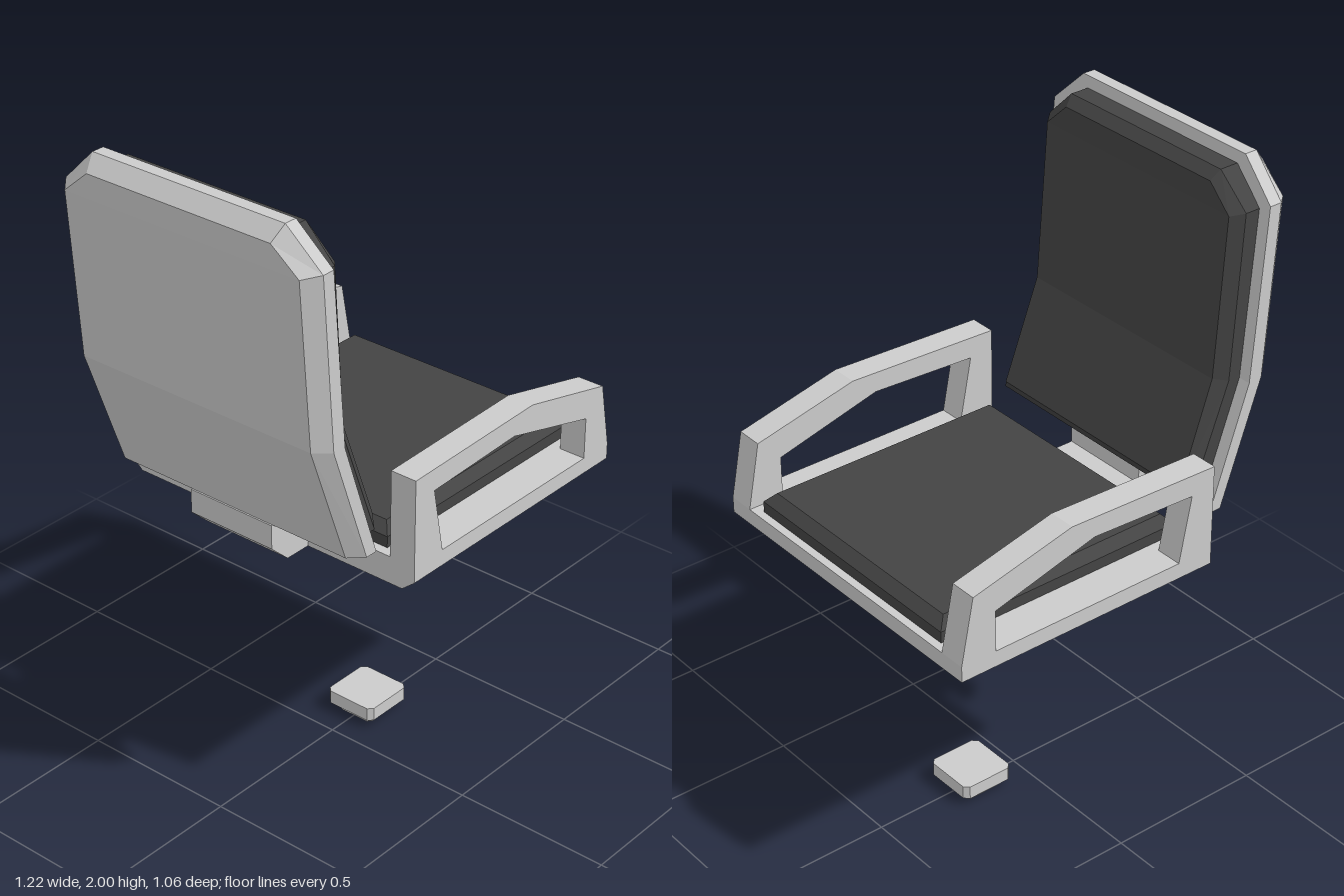
import * as THREE from 'three';

const grey = new THREE.MeshStandardMaterial({ color: 0xcccccc, flatShading: true });
const dark = new THREE.MeshStandardMaterial({ color: 0x444444, flatShading: true });

// Closed solid through matching rings of [x, y, z] points (even count per ring)
function loft(rings) {
  const tris = [];
  const quad = (a, b, c, d) => tris.push([a, b, c], [a, c, d]);
  const n = rings[0].length;
  for (let r = 0; r < rings.length - 1; r++) {
    for (let i = 0; i < n; i++) {
      const j = (i + 1) % n;
      quad(rings[r][i], rings[r][j], rings[r + 1][j], rings[r + 1][i]);
    }
  }
  const first = rings[0], last = rings[rings.length - 1];
  for (let i = 0; i < n / 2 - 1; i++) {
    quad(first[n - 1 - i], first[n - 2 - i], first[i + 1], first[i]);
    quad(last[i], last[i + 1], last[n - 2 - i], last[n - 1 - i]);
  }
  // Turn the faces outward if the enclosed volume is negative
  const v = (p) => new THREE.Vector3(...p);
  const volume = tris.reduce((s, [a, b, c]) => s + v(a).dot(v(b).cross(v(c))), 0);
  if (volume < 0) tris.forEach((t) => t.reverse());
  const geometry = new THREE.BufferGeometry();
  geometry.setAttribute('position', new THREE.Float32BufferAttribute(tris.flat(2), 3));
  geometry.computeVertexNormals();
  return geometry;
}

// Horizontal rectangle ring
const rect = (y, x0, x1, hz) => [[x0, y, -hz], [x1, y, -hz], [x1, y, hz], [x0, y, hz]];

// Horizontal square ring with cut corners
function cutSquare(y, cx, h, c) {
  const k = h - c;
  return [[-k, -h], [k, -h], [h, -k], [h, k], [k, h], [-k, h], [-h, k], [-h, -k]]
    .map(([x, z]) => [cx + x, y, z]);
}

// Bent slab: each row gives base, rim and face as [x, y, halfWidth], mirrored in z
const slab = (rows) => loft(rows.map((row) => [
  ...row.map(([x, y, w]) => [x, y, w]),
  ...[...row].reverse().map(([x, y, w]) => [x, y, -w]),
]));

// Side profile in x, y extruded along z
function extrude(points, z, depth) {
  const shape = new THREE.Shape(points.map((p) => new THREE.Vector2(...p)));
  return new THREE.ExtrudeGeometry(shape, { depth, bevelEnabled: false }).translate(0, 0, z);
}

export function createModel() {
  const group = new THREE.Group();
  const add = (name, geometry, material = grey) => {
    const mesh = new THREE.Mesh(geometry, material);
    mesh.name = name;
    group.add(mesh);
  };

  // Seat
  add('seatPan', loft([
    rect(0.85, -0.28, 0.565, 0.488), rect(0.885, -0.28, 0.605, 0.53), rect(0.935, -0.28, 0.605, 0.53),
  ]));
  add('seatCushion', loft([
    rect(0.935, -0.25, 0.58, 0.41), rect(0.97, -0.25, 0.58, 0.41), rect(1.0, -0.22, 0.55, 0.382),
  ]), dark);

  // Armrests: one arch on each side
  const arch = [
    [-0.28, 0.935], [-0.28, 1.205], [0.23, 1.22], [0.565, 1.14], [0.605, 0.935],
    [0.49, 0.935], [0.49, 1.065], [0.15, 1.155], [-0.2, 1.14], [-0.16, 0.935],
  ];
  add('armrestPlusZ', extrude(arch, 0.445, 0.085));
  add('armrestMinusZ', extrude(arch, -0.53, 0.085));

  // Bracket joining the seat and the backrest
  add('backBracket', extrude([
    [-0.28, 0.85], [-0.28, 0.935], [-0.345, 0.935], [-0.345, 0.985],
    [-0.43, 0.985], [-0.43, 0.91], [-0.365, 0.85],
  ], -0.15, 0.3));

  // Backrest shell and its cushion
  add('backShell', slab([
    [[-0.345, 0.985, 0.45], [-0.385, 0.985, 0.45], [-0.425, 0.985, 0.41]],
    [[-0.475, 1.36, 0.45], [-0.52, 1.365, 0.45], [-0.565, 1.37, 0.41]],
    [[-0.52, 1.89, 0.45], [-0.56, 1.89, 0.45], [-0.605, 1.88, 0.41]],
    [[-0.53, 2.0, 0.335], [-0.57, 2.0, 0.335], [-0.61, 1.955, 0.32]],
  ]));
  add('backCushion', slab([
    [[-0.355, 1.02, 0.41], [-0.305, 1.02, 0.41], [-0.285, 1.055, 0.385]],
    [[-0.475, 1.36, 0.41], [-0.435, 1.365, 0.41], [-0.4, 1.37, 0.38]],
    [[-0.52, 1.87, 0.41], [-0.47, 1.87, 0.41], [-0.435, 1.86, 0.38]],
    [[-0.525, 1.965, 0.31], [-0.465, 1.965, 0.31], [-0.437, 1.935, 0.3]],
  ]), dark);

  // Boss under the seat
  add('seatBoss', loft([[0.85, 0.073], [0.835, 0.066], [0.82, 0.05], [0.81, 0.03]]
    .map(([y, h]) => rect(y, 0.163 - h, 0.163 + h, h))));

  // Floor mount
  add('floorMount', loft([
    cutSquare(0, 0.163, 0.062, 0.012), cutSquare(0.027, 0.163, 0.062, 0.012),
    cutSquare(0.027, 0.163, 0.087, 0.015), cutSquare(0.07, 0.163, 0.087, 0.015),
  ]));

  return group;
}
